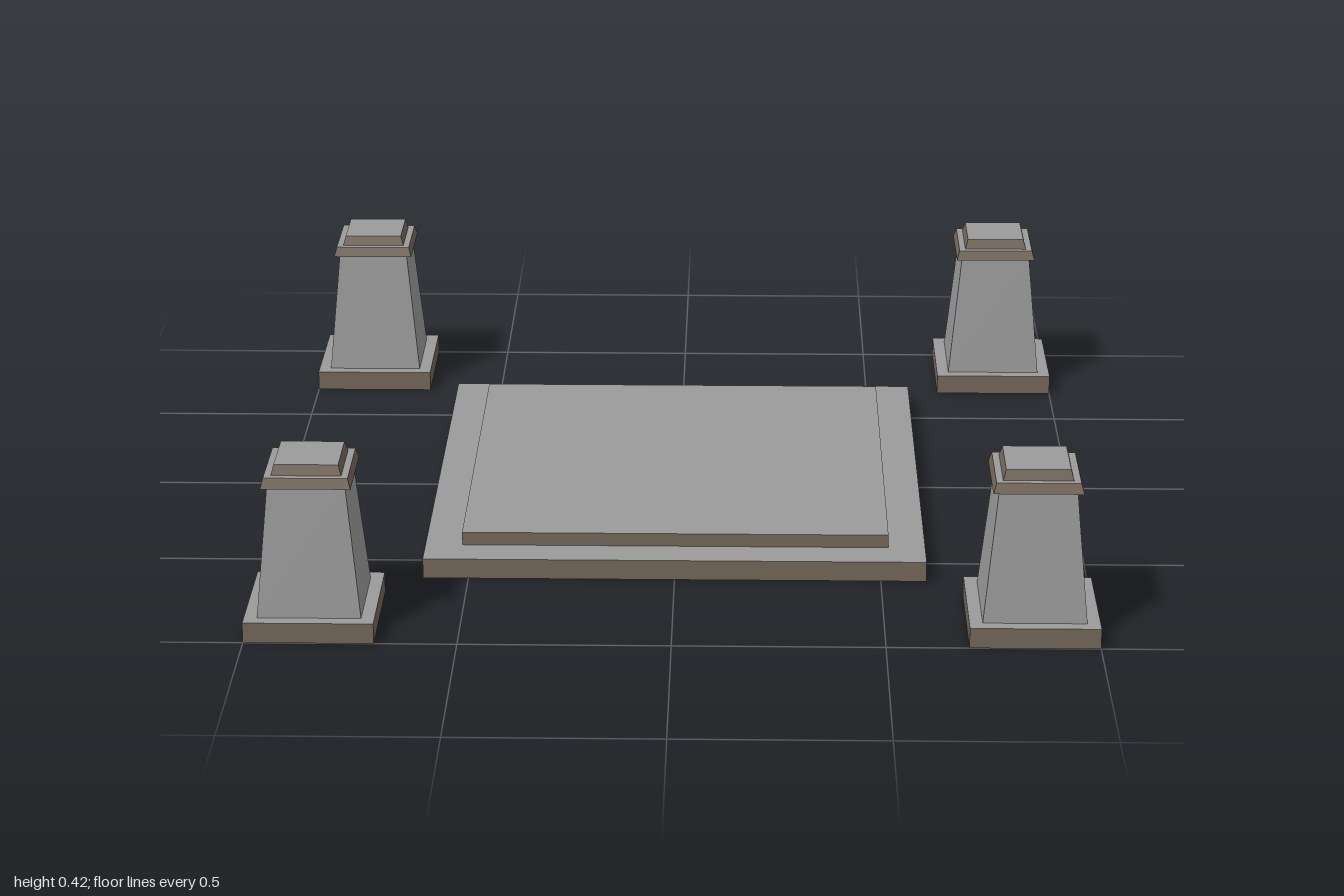
import * as THREE from 'three';

const stone = new THREE.MeshStandardMaterial({ color: 0x9a9a9a, side: THREE.DoubleSide });
stone.name = 'grey stone';
const trim = new THREE.MeshStandardMaterial({ color: 0x74675a, side: THREE.DoubleSide });
trim.name = 'brown trim';

const CORNERS = [[1, 1], [1, -1], [-1, -1], [-1, 1]];

// Square band between two cross-sections, each [half width, height]; flat faces, outward winding.
function band(name, material, [h0, y0], [h1, y1]) {
  const pos = [];
  for (let i = 0; i < 4; i++) {
    const [ax, az] = CORNERS[i];
    const [bx, bz] = CORNERS[(i + 1) % 4];
    const a0 = [ax * h0, y0, az * h0], b0 = [bx * h0, y0, bz * h0];
    const a1 = [ax * h1, y1, az * h1], b1 = [bx * h1, y1, bz * h1];
    pos.push(...a0, ...b0, ...b1);
    if (h1 > 0) pos.push(...a0, ...b1, ...a1);
  }
  const geometry = new THREE.BufferGeometry();
  geometry.setAttribute('position', new THREE.Float32BufferAttribute(pos, 3));
  geometry.computeVertexNormals();
  const mesh = new THREE.Mesh(geometry, material);
  mesh.name = name;
  return mesh;
}

// Hollow square shell, open below: each step is [name, material, half width, height].
function shell(name, start, steps) {
  const group = new THREE.Group();
  group.name = name;
  let previous = start;
  for (const [part, material, half, y] of steps) {
    group.add(band(part, material, previous, [half, y]));
    previous = [half, y];
  }
  return group;
}

function createPillar(name) {
  return shell(name, [0.153, 0], [
    ['baseSides', trim, 0.153, 0.05],
    ['baseTop', stone, 0.122, 0.05],
    ['shaft', stone, 0.091, 0.367],
    ['capUnderside', stone, 0.105, 0.367],
    ['capSides', trim, 0.098, 0.392],
    ['capTop', stone, 0.082, 0.392],
    ['crownSides', trim, 0.075, 0.417],
    ['crownTop', stone, 0, 0.417],
  ]);
}

export function createModel() {
  const model = new THREE.Group();
  model.name = 'platformWithPillars';

  // Two-step central platform
  model.add(shell('platform', [0.61, 0], [
    ['lowerStepSides', trim, 0.61, 0.05],
    ['lowerStepTop', stone, 0.52, 0.05],
    ['upperStepSides', trim, 0.52, 0.083],
    ['upperStepTop', stone, 0, 0.083],
  ]));

  // One pillar at each corner
  for (const x of [-1, 1]) {
    for (const z of [-1, 1]) {
      const pillar = createPillar((z > 0 ? 'front' : 'back') + (x > 0 ? 'Left' : 'Right') + 'Pillar');
      pillar.position.set(x * 0.847, 0, z * 0.847);
      model.add(pillar);
    }
  }
  return model;
}
